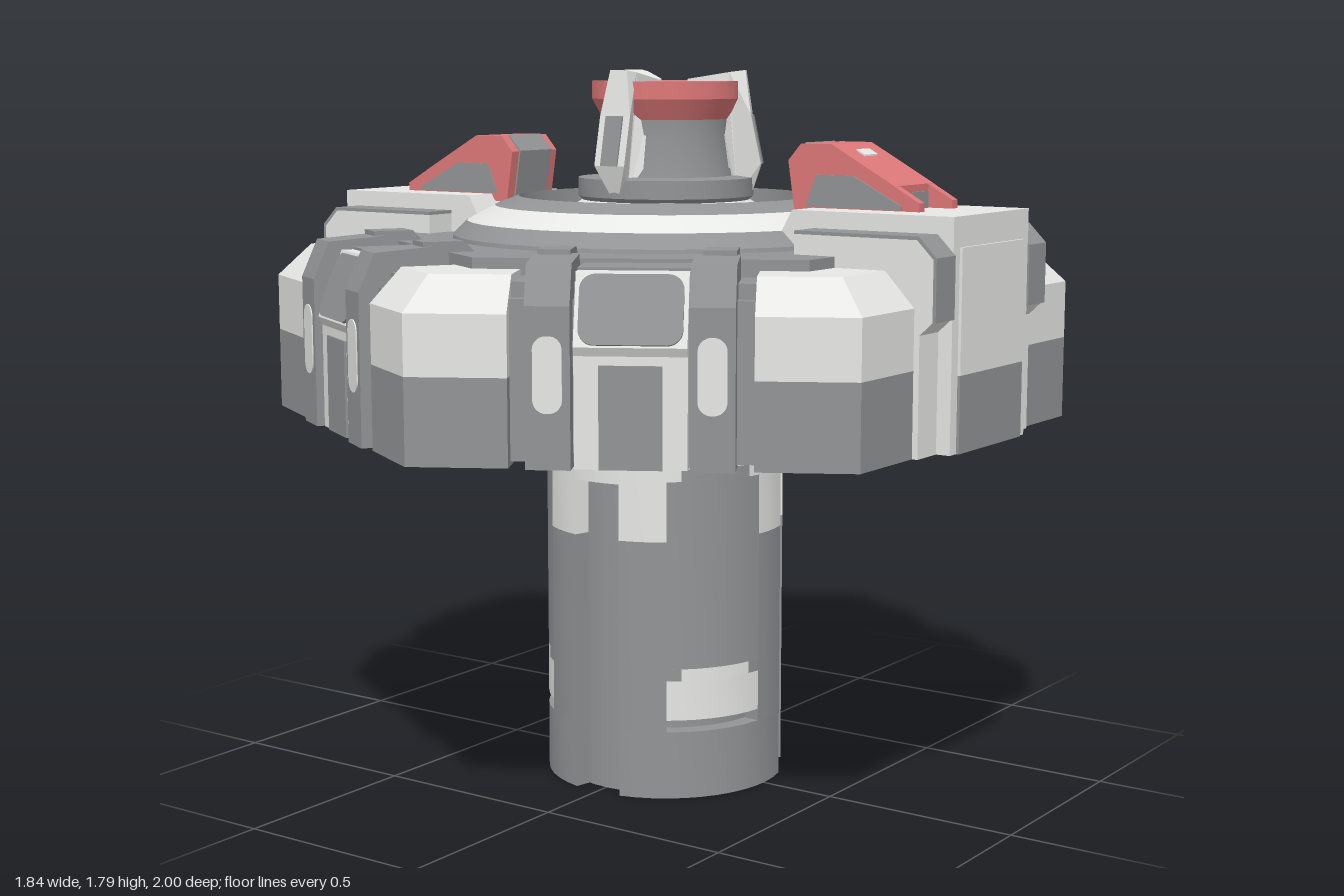
import * as THREE from 'three';
import { toCreasedNormals } from 'three/addons/utils/BufferGeometryUtils.js';
import { ConvexGeometry } from 'three/addons/geometries/ConvexGeometry.js';

const mat = (name, color) => {
  const m = new THREE.MeshStandardMaterial({ color, side: THREE.DoubleSide });
  m.name = name;
  return m;
};

export function createModel() {
  const dark = mat('dark grey', 0x929496);
  const light = mat('light grey', 0xf0f0ee);
  const red = mat('red', 0xde7878);
  const model = new THREE.Group();
  model.name = 'turretStation';

  const add = (parent, name, geometry, material) => {
    const mesh = new THREE.Mesh(geometry, material);
    mesh.name = name;
    parent.add(mesh);
    return mesh;
  };
  const group = (name, angle) => {
    const g = new THREE.Group();
    g.name = name;
    g.rotation.y = angle;
    model.add(g);
    return g;
  };
  const shapeOf = pts => new THREE.Shape(pts.map(p => new THREE.Vector2(...p)));
  const extrude = (shape, depth) => new THREE.ExtrudeGeometry(shape, { depth, bevelEnabled: false, curveSegments: 24 });
  // Profile of (outward, up) points, given width w and sideways offset s
  const slab = (pts, w, s = 0) => extrude(shapeOf(pts), w).rotateY(-Math.PI / 2).translate(s + w / 2, 0, 0);
  const lathe = (pts, seg = 40) =>
    toCreasedNormals(new THREE.LatheGeometry(pts.map(p => new THREE.Vector2(...p)), seg), 0.35);
  // Curved wall between two angles (0 = front) and two heights
  const sector = (r0, r1, t0, t1, y0, y1) => {
    const n = Math.max(3, Math.ceil((t1 - t0) / 0.14)), pts = [];
    for (let i = 0; i <= n; i++) {
      const t = t0 + (t1 - t0) * i / n;
      pts.push([r1 * Math.sin(t), -r1 * Math.cos(t)]);
    }
    for (let i = n; i >= 0; i--) {
      const t = t0 + (t1 - t0) * i / n;
      pts.push([r0 * Math.sin(t), -r0 * Math.cos(t)]);
    }
    return toCreasedNormals(extrude(shapeOf(pts), y1 - y0).rotateX(-Math.PI / 2).translate(0, y0, 0), 0.4);
  };
  // Counter-clockwise hexagon with a corner at the front
  const hexPts = R => Array.from({ length: 6 }, (_, i) => [R * Math.sin(i * Math.PI / 3), -R * Math.cos(i * Math.PI / 3)]);
  const hexRing = (R, y0, y1, hole) => {
    const s = shapeOf(hexPts(R));
    s.holes.push(hole);
    return extrude(s, y1 - y0).rotateX(-Math.PI / 2).translate(0, y0, 0);
  };
  const circle = r => new THREE.Path().absarc(0, 0, r, 0, Math.PI * 2, true);

  // Slotted column
  const third = Math.PI * 2 / 3, slot = 0.22, win = 0.43, R = 0.304, r = 0.26;
  for (let k = 0; k < 3; k++) {
    const c = group('columnSector', k * third + third / 2);
    const e = third / 2 - slot, h = third / 2, arch = win * 0.72;
    add(c, 'columnFoot', sector(r, R, -e, e, 0, 0.17), dark);
    add(c, 'windowPatch', sector(r, R, -win, win, 0.2, 0.3), light);
    add(c, 'windowPatchTop', sector(r, R, -arch, arch, 0.3, 0.33), light);
    add(c, 'columnWall', sector(r, R, -win, win, 0.33, 0.8), dark);
    add(c, 'columnWallTop', sector(r, R, -arch, arch, 0.8, 0.83), dark);
    add(c, 'columnCrown', sector(r, R, -e, e, 0.83, 0.87), light);
    for (const m of [-1, 1]) {
      const span = (a, b) => m > 0 ? [a, b] : [-b, -a];
      add(c, 'archCorner', sector(r, R, ...span(arch, win), 0.3, 0.33), dark);
      add(c, 'archShoulder', sector(r, R, ...span(arch, win), 0.8, 0.83), light);
      add(c, 'columnSide', sector(r, R, ...span(win, e), 0.17, 0.65), dark);
      add(c, 'columnCollar', sector(r, R, ...span(win, e), 0.65, 0.83), light);
      add(c, 'slotTop', sector(r, R, ...span(e, h), 0.79, 0.84), light);
    }
  }
  add(model, 'columnCore', lathe([[0.25, 0], [0.262, 0], [0.262, 0.84], [0.25, 0.84], [0.25, 0]]), dark);
  add(model, 'columnShoulder', lathe([[0.2, 0.83], [0.295, 0.84], [0.295, 0.87], [0.22, 0.93], [0.14, 0.93]], 24), light);
  add(model, 'neck', lathe([[0.15, 0.9], [0.15, 1.38]]), light);
  for (const y of [1.02, 1.16])
    add(model, 'neckRing', lathe([[0.15, y], [0.165, y], [0.165, y + 0.04], [0.15, y + 0.04]]), dark);

  // Hexagonal hull and deck
  add(model, 'hullWall', hexRing(0.96, 0.94, 1.3, new THREE.Path(shapeOf(hexPts(0.905)).getPoints())), dark);
  add(model, 'hullRoof', hexRing(0.925, 1.29, 1.335, circle(0.3)), dark);
  add(model, 'deck', hexRing(0.76, 1.33, 1.375, circle(0.34)), dark);

  // Mitred corner armour, built as two convex halves per corner
  const cornerHalf = (pts, m) => {
    const v = [];
    for (const [a, y] of pts)
      for (const s of [0.27, a * Math.tan(Math.PI / 6)]) v.push(new THREE.Vector3(m * s, y, a));
    return new ConvexGeometry(v);
  };
  const lower = [[0.866, 0.93], [0.866, 1.13], [0.79, 1.13], [0.79, 0.93]];
  const upper = [[0.866, 1.13], [0.866, 1.27], [0.79, 1.35], [0.66, 1.35], [0.66, 1.335], [0.8, 1.28], [0.8, 1.13]];
  for (let k = 0; k < 6; k++) {
    const g = group('cornerArmour', Math.PI / 6 + k * Math.PI / 3);
    for (const m of [-1, 1]) {
      add(g, 'cornerSkirt', cornerHalf(lower, m), dark);
      add(g, 'cornerCap', cornerHalf(upper, m), light);
    }
  }

  // Clamps and window panel on the four diagonal edges
  const rounded = (w, h, c) => {
    const s = new THREE.Shape();
    s.absarc(w / 2 - c, h / 2 - c, c, 0, Math.PI / 2);
    s.absarc(c - w / 2, h / 2 - c, c, Math.PI / 2, Math.PI);
    s.absarc(c - w / 2, c - h / 2, c, Math.PI, Math.PI * 1.5);
    s.absarc(w / 2 - c, c - h / 2, c, Math.PI * 1.5, Math.PI * 2);
    return extrude(s, 0.007);
  };
  for (const a of [1, -1, 5, -5]) {
    const g = group('edgePanel', a * Math.PI / 6);
    add(g, 'midPanel', slab([[0.862, 0.93], [0.862, 1.18], [0.872, 1.2], [0.81, 1.36], [0.64, 1.36], [0.64, 1.31], [0.8, 1.28], [0.8, 0.93]], 0.25), light);
    add(g, 'panelStrip', slab([[0.868, 0.93], [0.868, 1.16], [0.86, 1.16], [0.86, 0.93]], 0.14), dark);
    const window = add(g, 'window', rounded(0.23, 0.16, 0.035), dark);
    window.position.set(0, 1.279, 0.842);
    window.rotation.x = -Math.atan2(0.062, 0.16);
    add(g, 'panelTop', slab([[0.78, 1.355], [0.78, 1.366], [0.64, 1.366], [0.64, 1.355]], 0.25), dark);
    for (const m of [-1, 1]) {
      add(g, 'clamp', slab([[0.88, 0.93], [0.88, 1.29], [0.84, 1.38], [0.7, 1.39], [0.7, 1.33], [0.8, 1.3], [0.8, 0.93]], 0.1, m * 0.18), dark);
      add(g, 'clampArm', slab([[0.72, 1.33], [0.72, 1.4], [0.62, 1.4], [0.59, 1.37], [0.59, 1.33]], 0.075, m * 0.185), dark);
      add(g, 'capsule', rounded(0.065, 0.17, 0.03), light).position.set(m * 0.18, 1.14, 0.876);
    }
  }

  // Hollow side pods with red hooks
  for (const side of [-1, 1]) {
    const g = group('sidePod', side * Math.PI / 2);
    add(g, 'podShell', slab([[0.915, 0.93], [0.915, 1.47], [0.49, 1.47], [0.45, 1.4], [0.47, 1.36], [0.86, 1.36], [0.86, 0.93]], 0.37), light);
    const plate = (y0, y1) => slab([[0.915, y0], [0.922, y0], [0.922, y1], [0.915, y1]], 0.31);
    add(g, 'podPanel', plate(1.11, 1.4), light);
    add(g, 'podSkirt', plate(0.93, 1.11), dark);
    for (const m of [-1, 1]) {
      const s = m * 0.228;
      add(g, 'podCheek', slab([[0.86, 0.93], [0.86, 1.36], [0.47, 1.36], [0.5, 1.28], [0.66, 0.93]], 0.04, m * 0.165), light);
      add(g, 'podFlank', slab([[0.88, 0.93], [0.88, 1.21], [0.912, 1.24], [0.912, 1.38], [0.87, 1.422], [0.55, 1.422], [0.55, 1.3], [0.79, 1.25], [0.79, 0.93]], 0.088, s), light);
      add(g, 'flankCover', slab([[0.912, 1.24], [0.92, 1.24], [0.92, 1.384], [0.874, 1.43], [0.55, 1.43], [0.55, 1.422], [0.87, 1.422], [0.912, 1.38]], 0.088, s), dark);
      add(g, 'hookProng', slab([[0.775, 1.465], [0.775, 1.49], [0.7, 1.532], [0.69, 1.465]], 0.025, m * 0.08), red);
      add(g, 'hookSide', slab([[0.73, 1.472], [0.73, 1.482], [0.6, 1.548], [0.5, 1.548], [0.47, 1.472]], 0.006, m * 0.0935), dark);
    }
    add(g, 'hook', slab([[0.71, 1.465], [0.71, 1.527], [0.54, 1.62], [0.455, 1.62], [0.42, 1.58], [0.44, 1.45]], 0.185), red);
    add(g, 'hookInnerPlate', slab([[0.46, 1.612], [0.452, 1.622], [0.415, 1.582], [0.434, 1.46], [0.44, 1.46], [0.425, 1.58]], 0.13), dark);
    add(g, 'hookNotch', slab([[0.708, 1.47], [0.715, 1.47], [0.715, 1.51], [0.708, 1.51]], 0.12), dark);
    add(g, 'hookLight', slab([[0.593, 1.585], [0.593, 1.595], [0.57, 1.6075], [0.57, 1.598]], 0.06), light);
  }

  // Round bearing ring with a sunken floor
  add(model, 'ringSkirt', lathe([[0.54, 1.36], [0.535, 1.385], [0.5, 1.42]]), dark);
  add(model, 'ringBand', lathe([[0.5, 1.42], [0.43, 1.457]]), light);
  add(model, 'ringRim', lathe([[0.43, 1.457], [0.37, 1.48], [0.37, 1.41], [0.01, 1.41]]), dark);
  add(model, 'floorUnderside', lathe([[0.01, 1.37], [0.36, 1.37]]), dark);

  // Central turret
  add(model, 'turretFoot', lathe([[0.24, 1.41], [0.24, 1.45], [0.21, 1.47], [0.17, 1.47]]), light);
  add(model, 'turretBase', lathe([[0.2, 1.46], [0.22, 1.48], [0.22, 1.525], [0.17, 1.53]]), dark);
  add(model, 'turretBody', lathe([[0.17, 1.53], [0.155, 1.62], [0.158, 1.67]]), dark);
  add(model, 'turretCap', lathe([[0.158, 1.67], [0.185, 1.72], [0.185, 1.763], [0, 1.763]]), red);

  // Three tapered fins folding over the cap
  for (let k = 0; k < 3; k++) {
    const g = group('turretFin', k * third);
    const fin = slab([[0.18, 1.48], [0.215, 1.48], [0.24, 1.56], [0.215, 1.68], [0.2, 1.79], [0.16, 1.785], [0.055, 1.768], [0.055, 1.758], [0.155, 1.758], [0.16, 1.7], [0.145, 1.66], [0.16, 1.55]], 0.1);
    const p = fin.attributes.position;
    for (let i = 0; i < p.count; i++) {
      const y = p.getY(i);
      const f = p.getZ(i) < 0.1 ? 0.25 : y < 1.5 ? 0.2 : y < 1.69 ? 0.9 : 0.5;
      p.setX(i, p.getX(i) * f);
    }
    fin.computeVertexNormals();
    add(g, 'fin', fin, light);
    add(g, 'finInset', slab([[0.238, 1.56], [0.244, 1.56], [0.22, 1.68], [0.214, 1.68]], 0.05), dark);
  }
  return model;
}
